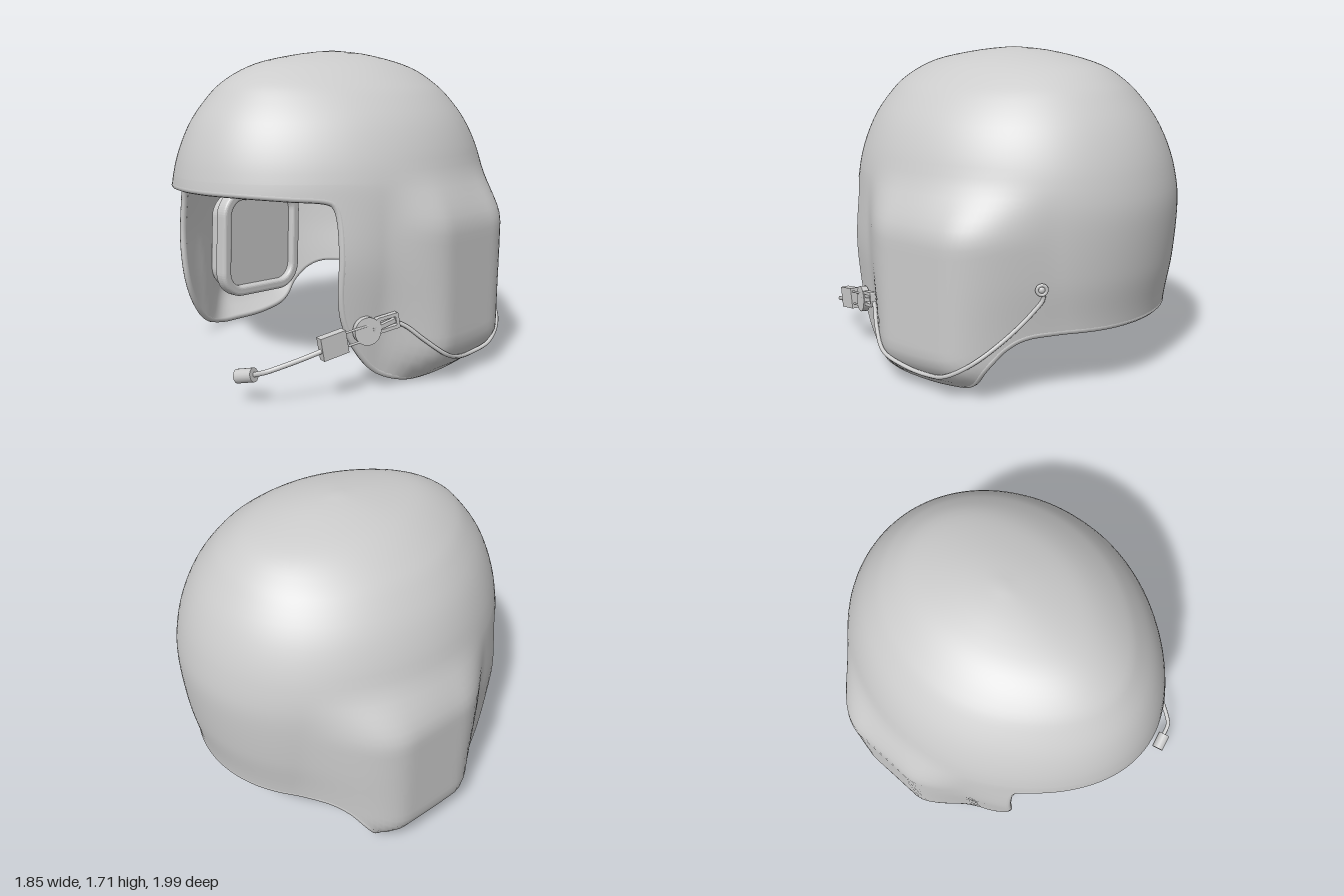
import * as THREE from 'three';

const CZ = -0.05; // z of the dome axis
const THICK = 0.035;

// Dome levels from crown down: y, front radius, back radius, side radius
const LEVELS = [
  [1.71, 0, 0, 0], [1.692, 0.2, 0.2, 0.15], [1.65, 0.45, 0.4, 0.31], [1.6, 0.6, 0.55, 0.42],
  [1.53, 0.72, 0.65, 0.525], [1.46, 0.79, 0.72, 0.605], [1.34, 0.88, 0.81, 0.7], [1.2, 0.945, 0.88, 0.77],
  [1.05, 0.985, 0.925, 0.815], [0.88, 1.0, 0.945, 0.83], [0.6, 1.0, 0.925, 0.82],
  [0.33, 1.0, 0.88, 0.79], [-0.02, 1.0, 0.86, 0.755],
];
const BELT = 8; // level where the rim-following rows begin

// Half rim from brow to nape: angle, y, angle of the matching belt point
const RIM = [
  [0, 1.0, 0], [0.3, 0.997, 0.3], [0.6, 0.985, 0.6], [0.835, 0.968, 0.845], [0.875, 0.945, 0.9],
  [0.9, 0.88, 0.95], [0.917, 0.7, 1.03], [0.92, 0.5, 1.12], [0.95, 0.36, 1.2], [1.035, 0.21, 1.29],
  [1.15, 0.095, 1.38], [1.32, 0.026, 1.5], [1.52, 0.01, 1.66], [1.74, 0.016, 1.84], [1.96, 0.05, 2.02],
  [2.06, 0.1, 2.11], [2.15, 0.2, 2.21], [2.22, 0.28, 2.29], [2.3, 0.325, 2.36], [2.44, 0.335, 2.46],
  [2.8, 0.335, 2.8], [Math.PI, 0.335, Math.PI],
];

const { smoothstep: smooth, clamp } = THREE.MathUtils;

// Smooth value of column k at fractional level u
function level(u, k) {
  const last = LEVELS.length - 1, i = Math.min(Math.floor(u), last - 1), t = u - i;
  const [a, b, c, d] = [i - 1, i, i + 1, i + 2].map((n) => LEVELS[clamp(n, 0, last)][k]);
  return b + 0.5 * t * (c - a + t * (2 * a - 5 * b + 4 * c - d + t * (3 * (b - c) + d - a)));
}

function levelAt(y) {
  let lo = 0, hi = LEVELS.length - 1;
  for (let n = 0; n < 24; n++) {
    const mid = (lo + hi) / 2;
    if (level(mid, 0) > y) lo = mid; else hi = mid;
  }
  return lo;
}

// Outer skin: elliptical section, slightly pointed toward the brow, plus the soft ear bulge
function skin(theta, u) {
  const y = level(u, 0), c = Math.cos(theta);
  const taper = c > 0 ? 1 - 0.035 * Math.sin(2 * theta) ** 2 * smooth(y, 0.6, 1) : 1;
  const z = CZ + c * taper * level(u, c > 0 ? 1 : 2);
  const x = Math.sin(theta) * taper * level(u, 3);
  const t = clamp(y / 0.22, 0, 1); // rounds the bulge under at the bottom
  const w = t * (2 - t) * (1 - smooth(y, 0.78, 1.1)) * smooth(z, -0.76, -0.32) * (1 - smooth(z, 0.03, 0.37));
  return new THREE.Vector3(x + (0.922 - x) * w, y, z);
}

// Point on the left side of the skin at a given z and y, lifted by a small amount
function onSide(z, y, lift) {
  const u = levelAt(y), r = level(u, z > CZ ? 1 : 2);
  const p = skin(Math.acos((z - CZ) / r), u);
  p.x += lift;
  return p;
}

function buildShell(material) {
  const half = 90, lower = 22, step = 3;
  const rim = new THREE.CatmullRomCurve3(RIM.map((p) => new THREE.Vector3(...p))).getSpacedPoints(half);
  const N = half * 2, rows = BELT * step + lower;
  const pos = [0, LEVELS[0][0], CZ];
  for (let j = 1; j <= rows; j++) {
    for (let i = 0; i < N; i++) {
      const r = rim[i <= half ? i : N - i], t = Math.max(0, (j - BELT * step) / lower);
      const u = t > 0 ? levelAt(LEVELS[BELT][0] + (r.y - LEVELS[BELT][0]) * t) : j / step;
      const p = skin(r.z + (r.x - r.z) * t, u);
      pos.push(i <= half ? p.x : -p.x, p.y, p.z);
    }
  }
  const id = (i, j) => (j === 0 ? 0 : 1 + (j - 1) * N + (i % N));
  const faces = [];
  for (let j = 0; j < rows; j++) {
    for (let i = 0; i < N; i++) {
      faces.push(id(i, j), id(i, j + 1), id(i + 1, j + 1));
      if (j > 0) faces.push(id(i, j), id(i + 1, j + 1), id(i + 1, j));
    }
  }
  const outer = new THREE.BufferGeometry();
  outer.setAttribute('position', new THREE.Float32BufferAttribute(pos, 3));
  outer.setIndex(faces);
  outer.computeVertexNormals();

  // Lining: the skin pushed inward and turned inside out
  const n = outer.attributes.normal.array;
  const inner = new THREE.BufferGeometry();
  inner.setAttribute('position', new THREE.Float32BufferAttribute(pos.map((v, k) => v - n[k] * THICK), 3));
  inner.setIndex(faces.slice().reverse());
  inner.computeVertexNormals();

  // Edge bead around the whole opening
  const edge = [];
  for (let i = 0; i < N; i++) {
    const k = id(i, rows);
    edge.push(new THREE.Vector3().fromBufferAttribute(outer.attributes.position, k)
      .lerp(new THREE.Vector3().fromBufferAttribute(inner.attributes.position, k), 0.48));
  }
  const bead = new THREE.TubeGeometry(new THREE.CatmullRomCurve3(edge, true), 360, 0.019, 8, true);
  return [['shell', outer], ['lining', inner], ['rimBead', bead]].map(([name, geo]) => named(name, geo, material));
}

function named(name, geometry, material, position) {
  const mesh = new THREE.Mesh(geometry, material);
  mesh.name = name;
  if (position) mesh.position.copy(position);
  return mesh;
}

function roundedRect(w, h, r, Type = THREE.Shape) {
  const s = new Type(), x = w / 2, y = h / 2;
  s.absarc(x - r, y - r, r, 0, Math.PI / 2);
  s.absarc(-x + r, y - r, r, Math.PI / 2, Math.PI);
  s.absarc(-x + r, -y + r, r, Math.PI, Math.PI * 1.5);
  s.absarc(x - r, -y + r, r, Math.PI * 1.5, Math.PI * 2);
  s.closePath();
  return s;
}

// Ear cushion: padded ring, recessed panel and stepped base; +z of the group points outward
function buildEarPad(material, side) {
  const pad = new THREE.Group();
  pad.name = side > 0 ? 'leftEarPad' : 'rightEarPad';
  const ring = roundedRect(0.6, 0.63, 0.14);
  ring.holes.push(roundedRect(0.55, 0.58, 0.115, THREE.Path));
  const bevel = { bevelEnabled: true, bevelThickness: 0.022, bevelSize: 0.02, bevelSegments: 4, curveSegments: 8 };
  pad.add(named('cushionRing', new THREE.ExtrudeGeometry(ring, { depth: 0.045, ...bevel }), material));
  pad.add(named('innerPanel', new THREE.ExtrudeGeometry(roundedRect(0.58, 0.61, 0.13),
    { depth: 0.03, bevelEnabled: false, curveSegments: 8 }), material, new THREE.Vector3(0, 0, 0.02)));
  pad.add(named('padBase', new THREE.ExtrudeGeometry(roundedRect(0.52, 0.56, 0.12),
    { depth: 0.08, ...bevel }), material, new THREE.Vector3(0, 0, 0.06)));
  pad.rotation.set(0, side * Math.PI / 2, side * -0.03);
  pad.position.set(side * 0.622, 0.53, -0.05);
  return pad;
}

function buildMicrophone(material) {
  const mic = new THREE.Group();
  mic.name = 'microphone';
  const V = (x, y, z) => new THREE.Vector3(x, y, z);
  const tube = (name, points, r, n = 24) => mic.add(named(name,
    new THREE.TubeGeometry(new THREE.CatmullRomCurve3(points), n, r, 8), material));
  // Part laid along a line, with its local +z pointing from a to b
  const along = (name, geo, a, b) => {
    const m = named(name, geo, material, a.clone().lerp(b, 0.5));
    m.lookAt(b);
    mic.add(m);
  };

  // Pivot disc on the shell edge
  const disc = V(0.715, 0.325, 0.455), out = V(0.9, 0.05, 0.43).normalize();
  along('pivotDisc', new THREE.CylinderGeometry(0.07, 0.07, 0.035, 24).rotateX(Math.PI / 2),
    disc.clone().addScaledVector(out, -0.02), disc.clone().addScaledVector(out, 0.02));

  // Open clip behind the disc
  const clip = roundedRect(0.12, 0.08, 0.008);
  clip.holes.push(roundedRect(0.085, 0.045, 0.005, THREE.Path));
  const clipMesh = named('cableClip', new THREE.ExtrudeGeometry(clip, { depth: 0.03, bevelEnabled: false }),
    material, V(0.745, 0.355, 0.345));
  clipMesh.rotation.set(0, Math.PI / 2 - 0.42, 0.18);
  mic.add(clipMesh);
  along('clipBar', new THREE.BoxGeometry(0.022, 0.022, 0.15), V(0.735, 0.33, 0.43), V(0.775, 0.365, 0.3));

  // Twin links and the swivel block
  for (const dy of [-0.035, 0.035]) tube('link', [V(0.725, 0.32 + dy, 0.46), V(0.665, 0.29 + dy, 0.62)], 0.006, 2);
  along('swivelBlock', new THREE.BoxGeometry(0.045, 0.115, 0.14), V(0.675, 0.295, 0.57), V(0.635, 0.27, 0.7));

  // Boom and capsule
  tube('boom', [V(0.64, 0.262, 0.69), V(0.58, 0.225, 0.785), V(0.515, 0.19, 0.89), V(0.49, 0.178, 0.918),
    V(0.4, 0.145, 0.945)], 0.013);
  along('capsule', new THREE.CylinderGeometry(0.035, 0.035, 0.1, 16).rotateX(Math.PI / 2),
    V(0.43, 0.155, 0.94), V(0.33, 0.13, 0.965));

  // Cable following the shell to its socket
  const path = [[0.31, 0.355], [0.26, 0.325], [0.19, 0.255], [0.08, 0.165], [-0.05, 0.115], [-0.2, 0.1], [-0.34, 0.135],
    [-0.48, 0.22], [-0.59, 0.34], [-0.67, 0.46], [-0.705, 0.53], [-0.7, 0.57]].map(([z, y]) => onSide(z, y, 0.012));
  tube('cable', path, 0.011, 80);
  const socket = onSide(-0.7, 0.575, 0.008), normal = V(0.7, 0, -0.72);
  along('socketRing', new THREE.TorusGeometry(0.024, 0.009, 8, 20), socket, socket.clone().addScaledVector(normal, 0.02));
  mic.add(named('socketPlug', new THREE.SphereGeometry(0.021, 14, 10), material, socket));
  return mic;
}

export function createModel() {
  const group = new THREE.Group();
  group.name = 'helmet';
  const material = new THREE.MeshStandardMaterial({ color: 0xcccccc });
  group.add(...buildShell(material));
  for (const side of [1, -1]) group.add(buildEarPad(material, side));
  group.add(buildMicrophone(material));
  return group;
}
